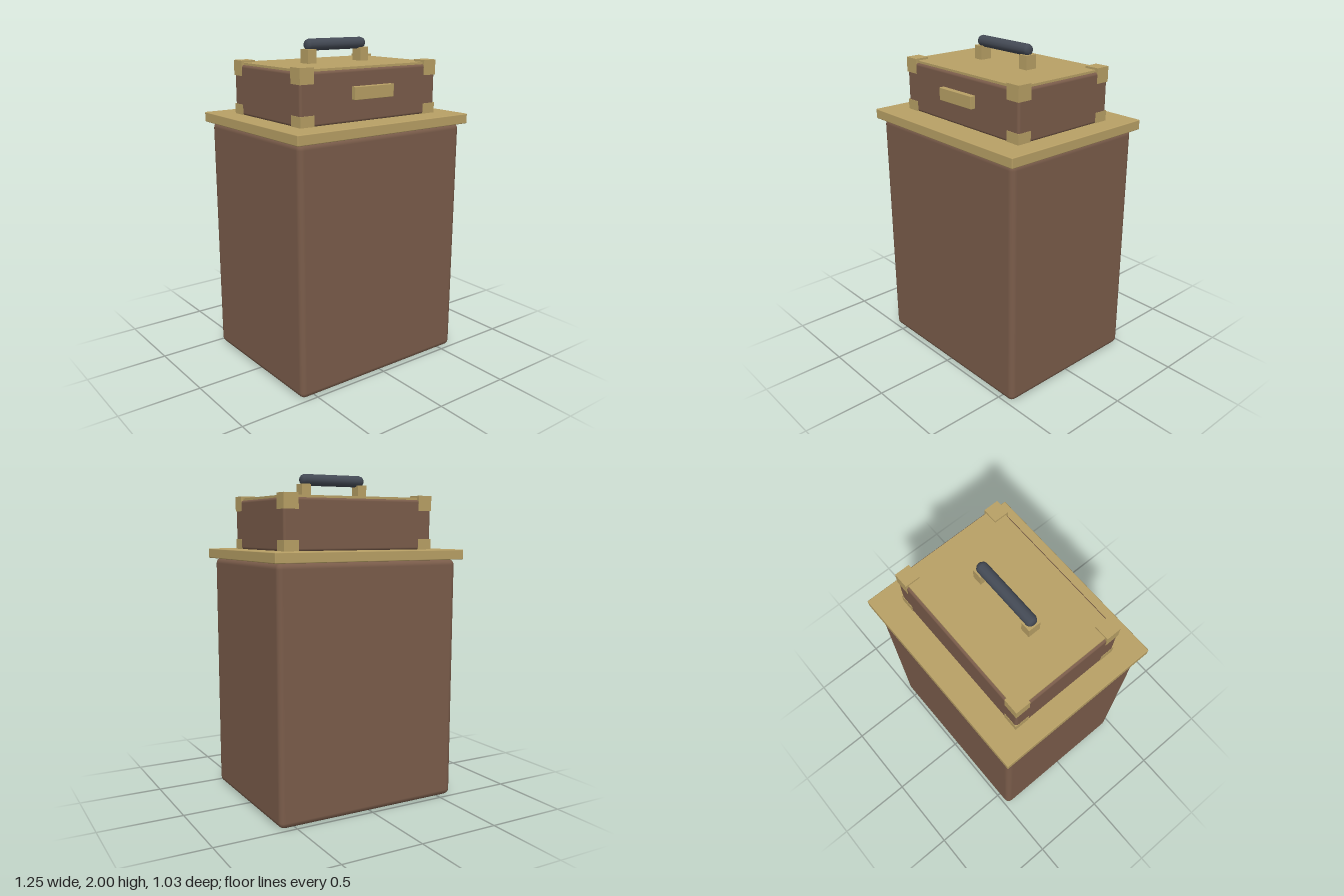
import * as THREE from 'three';
import { RoundedBoxGeometry } from 'three/addons/geometries/RoundedBoxGeometry.js';

const leather = new THREE.MeshStandardMaterial({ color: 0x7a5c4a });
const brass = new THREE.MeshStandardMaterial({ color: 0xb8a065 });
const grip = new THREE.MeshStandardMaterial({ color: 0x444a55 });

export function createModel() {
  const model = new THREE.Group();
  model.name = 'pedestalWithCase';

  // Box spanning y0..y1, with an optional rounded edge
  function box(name, material, w, d, y0, y1, x = 0, z = 0, r = 0) {
    const h = y1 - y0;
    const geometry = r
      ? new RoundedBoxGeometry(w, h, d, 2, r)
      : new THREE.BoxGeometry(w, h, d);
    const mesh = new THREE.Mesh(geometry, material);
    mesh.name = name;
    mesh.position.set(x, (y0 + y1) / 2, z);
    model.add(mesh);
    return mesh;
  }

  // Pedestal and its overhanging top
  box('pedestal', leather, 1.19, 0.965, 0, 1.49, 0, 0, 0.035);
  box('pedestalTop', brass, 1.25, 1.026, 1.488, 1.548, 0, 0, 0.005);

  // Case, lid plate and front latch
  box('caseBody', leather, 0.992, 0.698, 1.545, 1.845, 0, 0, 0.016);
  box('lidPlate', brass, 0.964, 0.67, 1.835, 1.858);
  box('latch', brass, 0.285, 0.04, 1.675, 1.75, 0, 0.36, 0.003);

  // Corner guards, top and bottom
  for (const sx of [-1, 1]) {
    for (const sz of [-1, 1]) {
      box('topCornerGuard', brass, 0.093, 0.091, 1.78, 1.87, sx * 0.451, sz * 0.306);
      box('bottomCornerGuard', brass, 0.093, 0.091, 1.53, 1.61, sx * 0.451, sz * 0.306);
    }
    // Handle posts
    box('handlePost', brass, 0.06, 0.076, 1.85, 1.94, sx * 0.195, 0);
  }

  // Handle grip with rounded ends
  const profile = [
    [0, -0.217], [0.019, -0.217], [0.03, -0.207], [0.035, -0.192],
    [0.035, 0.192], [0.03, 0.207], [0.019, 0.217], [0, 0.217],
  ].map(([r, y]) => new THREE.Vector2(r, y));
  const handle = new THREE.Mesh(new THREE.LatheGeometry(profile, 12), grip);
  handle.name = 'handleGrip';
  handle.rotation.z = Math.PI / 2;
  handle.position.y = 1.965;
  model.add(handle);

  return model;
}
